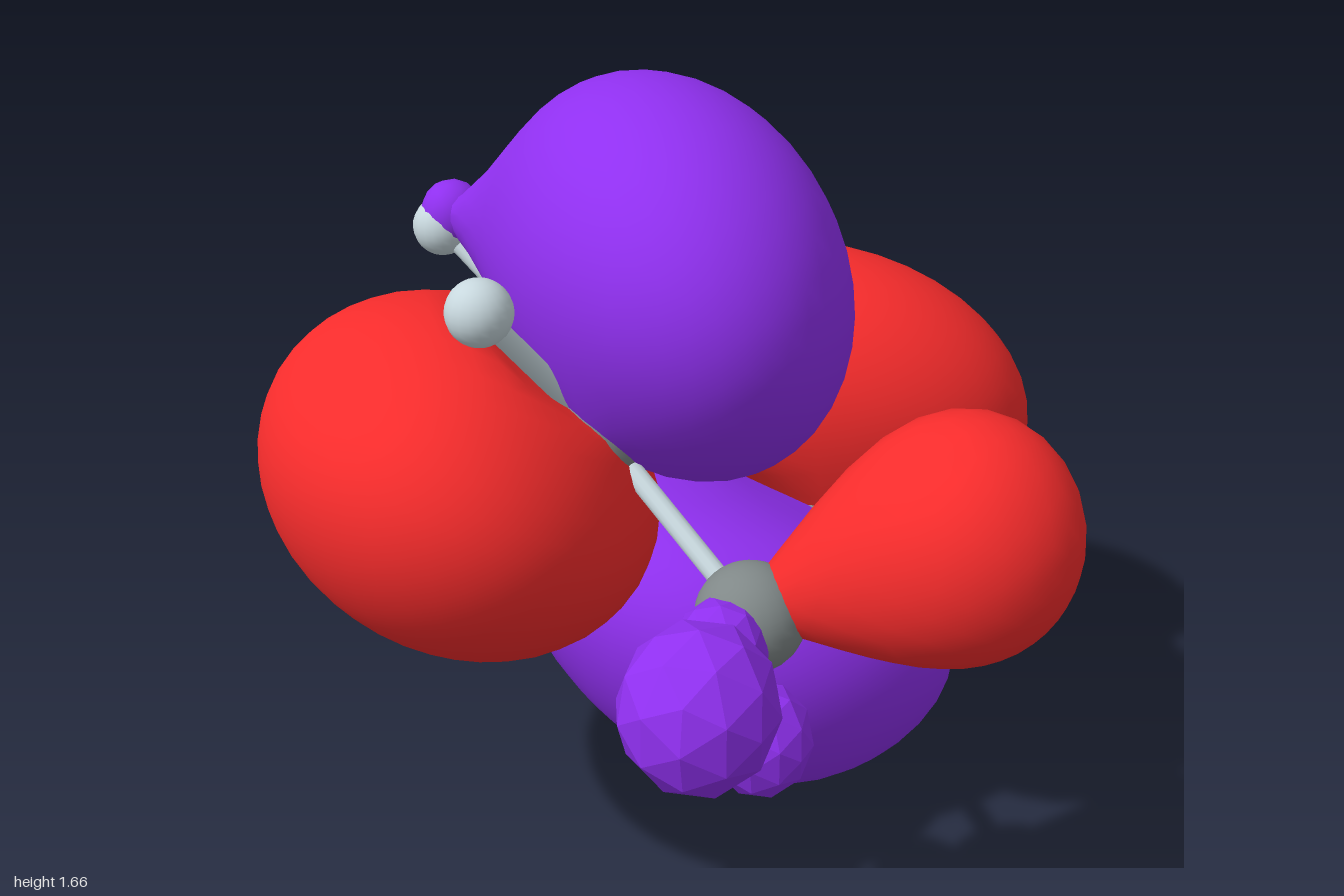
import * as THREE from 'three';
import { mergeVertices } from 'three/addons/utils/BufferGeometryUtils.js';

const V = (a) => new THREE.Vector3(...a);
const mat = (color, flatShading = false) => new THREE.MeshStandardMaterial({ color, flatShading });
const PURPLE = 0x9030f0, RED = 0xf82c2c, CARBON = 0x808888, PALE = 0xc8d8de;

// Tilted ellipsoid from half sizes and xy, xz, yz tilts. Optionally bent so its
// x ends shift in y and z, pressed flat against a nodal plane, and drawn out
// to rounded tips. Each tip: [point, end radius, sharpness]
function lobe({ at, half, tilt = [0, 0, 0], bend = [0, 0], plane, tips = [], detail = 7 }) {
  const ball = new THREE.IcosahedronGeometry(1, detail);
  ball.deleteAttribute('uv');
  ball.deleteAttribute('normal');
  const geo = mergeVertices(ball, 1e-4);
  const [hx, hy, hz] = half, [xy, xz, yz] = tilt;
  const c = Math.sqrt(1 - xy * xy);
  const d = (yz - xy * xz) / c;
  const e = Math.sqrt(1 - xz * xz - d * d);
  const shape = new THREE.Matrix3().set(hx, 0, 0, hy * xy, hy * c, 0, hz * xz, hz * d, hz * e);
  const center = V(at);
  const inverse = shape.clone().invert();
  const pulls = tips.map(([point, size, sharp]) => ({
    point: V(point), size, sharp,
    dir: V(point).sub(center).applyMatrix3(inverse).normalize(),
  }));
  const n = plane && V(plane.normal).normalize();
  const pos = geo.attributes.position;
  const u = new THREE.Vector3(), p = new THREE.Vector3();
  for (let i = 0; i < pos.count; i++) {
    u.fromBufferAttribute(pos, i);
    p.copy(u).applyMatrix3(shape);
    const x2 = p.x * p.x;
    p.y += bend[0] * x2;
    p.z += bend[1] * x2;
    p.add(center);
    if (plane) {
      const gap = p.clone().sub(V(plane.point)).dot(n);
      if (gap < 0.008) p.addScaledVector(n, 0.008 - gap);
    }
    for (const t of pulls) {
      const end = t.point.clone().addScaledVector(u, t.size);
      p.lerp(end, Math.exp((u.dot(t.dir) - 1) * t.sharp));
    }
    pos.setXYZ(i, p.x, p.y, p.z);
  }
  geo.computeVertexNormals();
  return geo;
}

export function createModel() {
  const model = new THREE.Group();
  const add = (name, geo, material) => {
    const m = new THREE.Mesh(geo, material);
    m.name = name;
    model.add(m);
    return m;
  };

  // Atoms
  const carbons = [
    [0.22, 0.83, 0.5], [-0.1, 1.07, 0.3], [-0.29, 1.05, -0.1],
    [-0.14, 0.75, -0.4], [0.24, 0.54, -0.42],
  ];
  // Each hydrogen: position and the carbon it hangs on
  const hydrogens = [
    [[0.2, 0.87, 0.85], 0], [[0.23, 0.52, 0.4], 0], [[0.55, 0.9, 0.43], 0],
    [[-0.26, 1.35, 0.47], 1], [[-0.55, 1.26, -0.19], 2], [[-0.42, 0.7, -0.58], 3],
    [[0.5, 0.63, -0.26], 4], [[0.28, 0.3, -0.67], 4],
  ];
  const carbonMat = mat(CARBON), paleMat = mat(PALE);
  const carbonGeo = new THREE.SphereGeometry(0.1, 24, 16);
  const hydrogenGeo = new THREE.SphereGeometry(0.06, 20, 14);
  carbons.forEach((c) => add('carbonAtom', carbonGeo, carbonMat).position.set(...c));
  hydrogens.forEach(([h]) => add('hydrogenAtom', hydrogenGeo, paleMat).position.set(...h));

  // Bonds
  const bond = (a, b) => {
    const p = V(a), q = V(b), dir = q.clone().sub(p);
    const m = add('bond', new THREE.CylinderGeometry(0.02, 0.02, dir.length(), 12), paleMat);
    m.position.copy(p).add(q).multiplyScalar(0.5);
    m.quaternion.setFromUnitVectors(new THREE.Vector3(0, 1, 0), dir.normalize());
  };
  for (let i = 1; i < carbons.length; i++) bond(carbons[i - 1], carbons[i]);
  hydrogens.forEach(([h, i]) => bond(carbons[i], h));

  // Four large lobes, in pairs on either side of two nodal planes,
  // each wrapping its side of the two carbons it sits on
  const purple = mat(PURPLE), red = mat(RED);
  const planeA = [-0.2, 1.05, 0.1], planeB = [0.05, 0.65, -0.41];
  add('upperLobe', lobe({
    at: [-0.025, 1.28, 0.05], half: [0.37, 0.385, 0.49], tilt: [-0.04, 0.34, 0.13],
    plane: { point: planeA, normal: [0.33, 0.36, -0.18] },
    tips: [
      [[-0.07, 1.11, 0.28], 0.09, 14], [[-0.26, 1.09, -0.12], 0.1, 12],
      [[-0.52, 1.29, -0.2], 0.05, 12],
    ],
  }), purple);
  add('upperLobeTip', lobe({ at: [-0.53, 1.285, -0.2], half: [0.065, 0.07, 0.065], detail: 2 }), purple);
  add('rightLobe', lobe({
    at: [-0.39, 0.92, 0.23], half: [0.4, 0.36, 0.495], tilt: [-0.05, 0.21, 0.22],
    plane: { point: planeA, normal: [-0.33, -0.36, 0.18] },
    tips: [[[-0.13, 1.03, 0.32], 0.09, 14], [[-0.32, 1.01, -0.08], 0.1, 12]],
  }), red);
  add('backLobe', lobe({
    at: [0.17, 0.76, -0.65], half: [0.48, 0.36, 0.35], tilt: [-0.1, 0.02, 0.18],
    plane: { point: planeB, normal: [0.17, 0.38, -0.45] },
    tips: [[[-0.13, 0.76, -0.4], 0.12, 10], [[0.25, 0.57, -0.46], 0.1, 14]],
  }), red);
  add('lowerLobe', lobe({
    at: [0.01, 0.375, -0.175], half: [0.53, 0.375, 0.38], tilt: [-0.26, 0.22, 0.25], bend: [0.2, -0.55],
    plane: { point: planeB, normal: [-0.17, -0.38, 0.45] },
    tips: [
      [[-0.15, 0.72, -0.36], 0.09, 14], [[0.23, 0.51, -0.38], 0.1, 14],
      [[-0.42, 0.65, -0.54], 0.1, 8],
    ],
  }), purple);
  add('lowerLobeTip', lobe({
    at: [-0.42, 0.675, -0.545], half: [0.11, 0.095, 0.145], detail: 2,
  }), purple);

  // Small lobes around the end group
  add('sideLobe', lobe({
    at: [0.57, 0.985, 0.425], half: [0.215, 0.23, 0.23],
    tips: [[[0.26, 0.85, 0.47], 0.08, 3]], detail: 4,
  }), red);
  const facet = mat(PURPLE, true);
  add('frontLobe', lobe({ at: [0.2, 0.865, 0.855], half: [0.135, 0.145, 0.143], detail: 1 }), facet);
  add('frontLobeStem', lobe({ at: [0.185, 0.815, 0.6], half: [0.085, 0.09, 0.12], detail: 1 }), facet);
  add('bottomLobe', lobe({
    at: [0.23, 0.52, 0.42], half: [0.1, 0.11, 0.11], tips: [[[0.23, 0.5, 0.26], 0, 6]], detail: 1,
  }), facet);

  return model;
}
